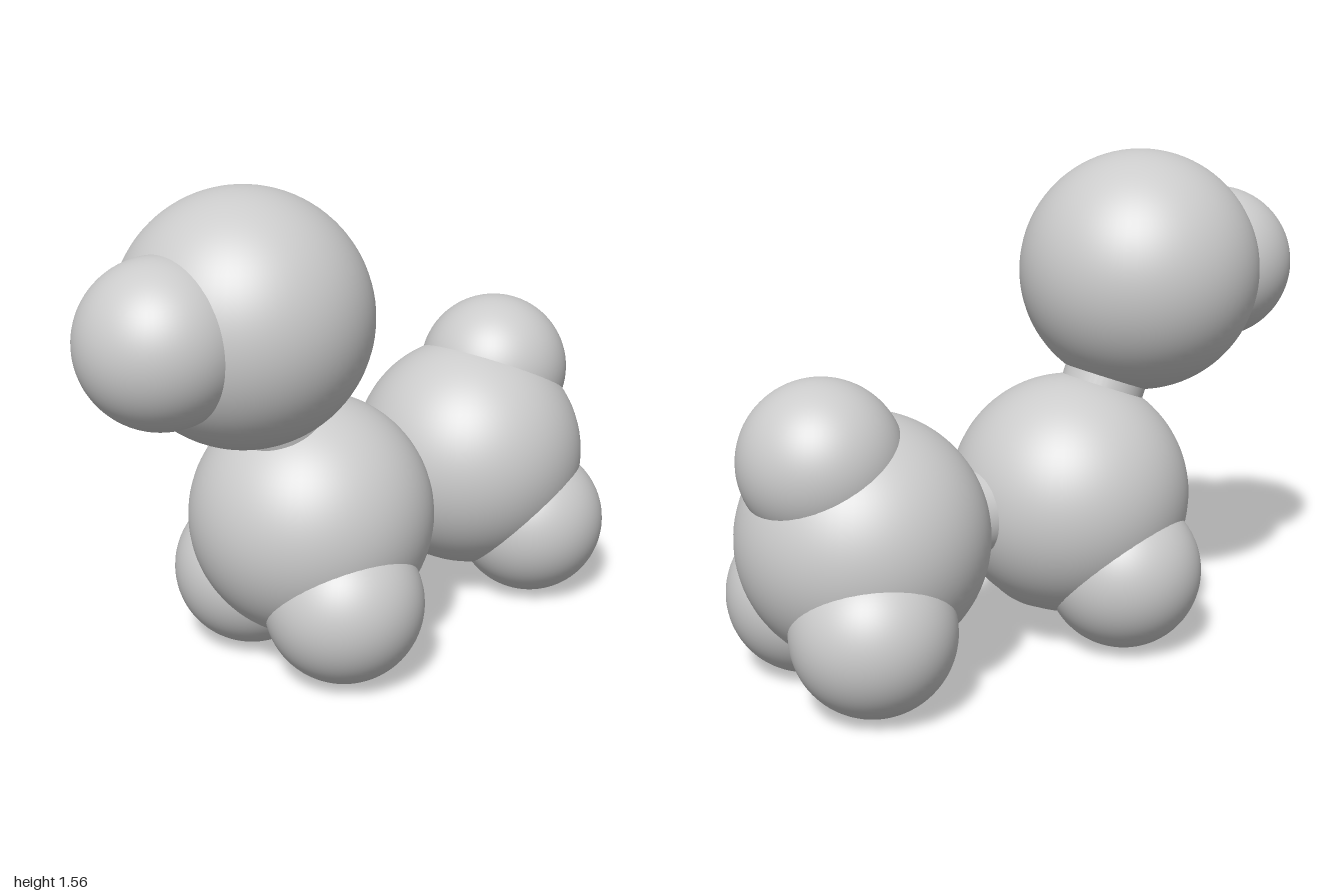
import * as THREE from 'three';

export function createModel() {
  const model = new THREE.Group();
  model.name = 'moleculeModel';
  const material = new THREE.MeshStandardMaterial({ color: 0xcccccc });
  const large = new THREE.SphereGeometry(0.387, 64, 48);
  const small = new THREE.SphereGeometry(0.25, 64, 48);

  function addAtom(name, geometry, x, y, z) {
    const atom = new THREE.Mesh(geometry, material);
    atom.name = name;
    atom.position.set(x, y, z);
    model.add(atom);
    return atom.position;
  }

  // Short cylinder joining two atom centres
  function addBond(name, a, b, radius) {
    const axis = b.clone().sub(a);
    const bond = new THREE.Mesh(new THREE.CylinderGeometry(radius, radius, axis.length(), 48), material);
    bond.name = name;
    bond.position.copy(a).lerp(b, 0.5);
    bond.quaternion.setFromUnitVectors(new THREE.Vector3(0, 1, 0), axis.normalize());
    model.add(bond);
  }

  // Backbone of large atoms
  const middleCarbon = addAtom('middleCarbon', large, -0.16, 0.472, -0.005);
  const endCarbon = addAtom('endCarbon', large, 0.608, 0.472, -0.005);
  const oxygen = addAtom('oxygen', large, -0.435, 1.175, -0.005);
  addBond('carbonBond', middleCarbon, endCarbon, 0.132);
  addBond('oxygenBond', middleCarbon, oxygen, 0.135);

  // Single hydrogens at the ends
  addAtom('oxygenHydrogen', small, -0.75, 1.168, -0.01);
  addAtom('upperHydrogen', small, 0.748, 0.737, -0.015);

  // Paired hydrogens, front and back, on which the model stands
  for (const [label, x] of [['middle', -0.228], ['end', 0.696]]) {
    addAtom(label + 'FrontHydrogen', small, x, 0.252, 0.202);
    addAtom(label + 'BackHydrogen', small, x, 0.252, -0.208);
  }
  return model;
}
